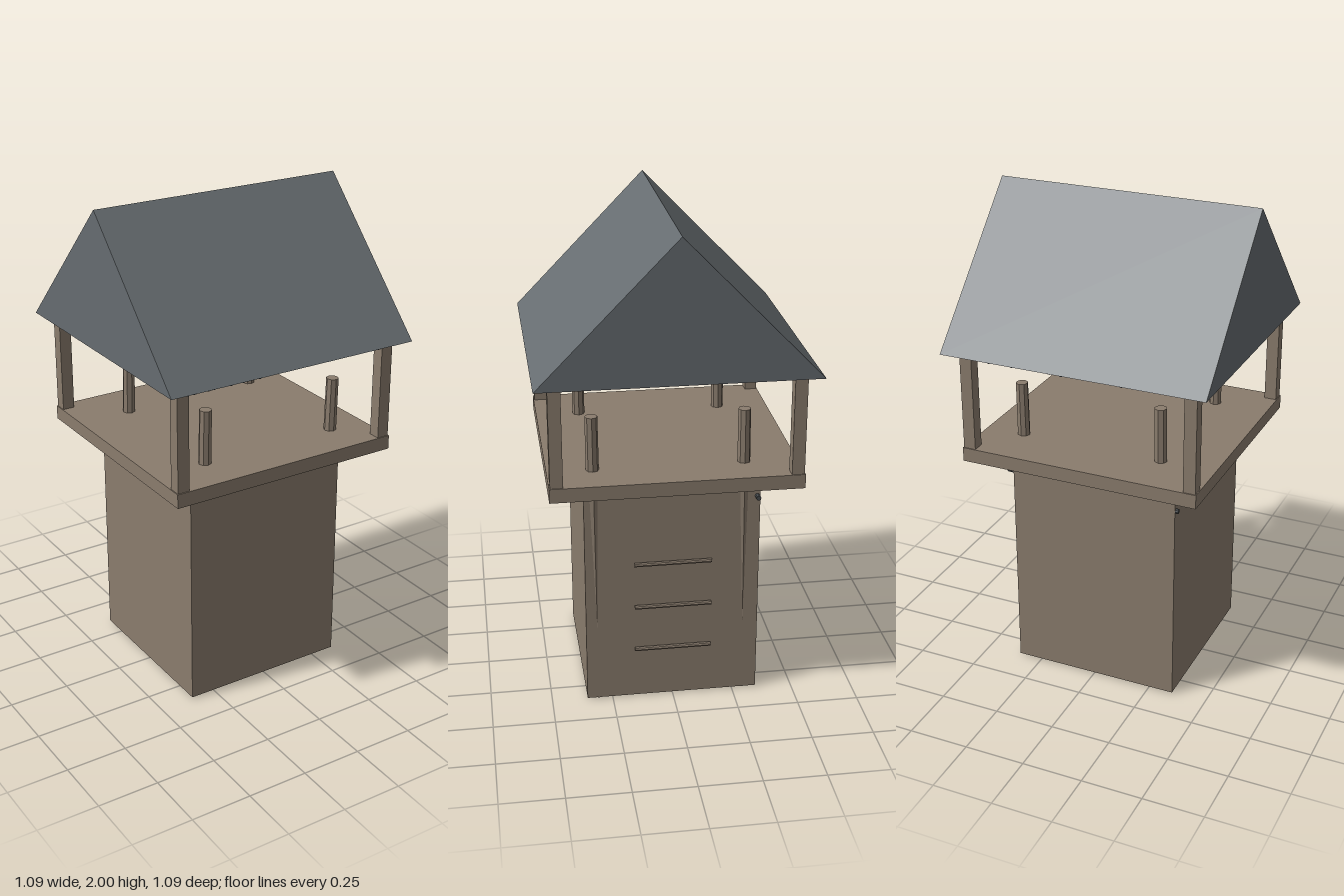
import * as THREE from 'three';

export function createModel() {
  const model = new THREE.Group();
  const mat = (name, color) => {
    const m = new THREE.MeshStandardMaterial({ color });
    m.name = name;
    return m;
  };
  const wood = mat('weathered wood', 0x8a7c6d);
  const slate = mat('slate grey', 0x666c70);
  const iron = mat('dark iron', 0x45494c);

  const add = (name, geometry, material) => {
    const mesh = new THREE.Mesh(geometry, material);
    mesh.name = name;
    model.add(mesh);
    return mesh;
  };
  const box = (name, w, h, d, x, y, z) =>
    add(name, new THREE.BoxGeometry(w, h, d), wood).position.set(x, y, z);

  // Straight round bar between two points
  const bar = (name, from, to, r0, r1, sides, material) => {
    const a = new THREE.Vector3(...from), b = new THREE.Vector3(...to);
    const dir = b.clone().sub(a);
    const geo = new THREE.CylinderGeometry(r1, r0, dir.length(), sides).toNonIndexed();
    geo.computeVertexNormals();
    const mesh = add(name, geo, material);
    mesh.position.copy(a).add(b).multiplyScalar(0.5);
    mesh.quaternion.setFromUnitVectors(new THREE.Vector3(0, 1, 0), dir.normalize());
  };

  // Tower body and lookout platform
  box('towerBody', 0.705, 0.97, 0.705, -0.002, 0.49, 0.002);
  box('platform', 0.99, 0.058, 0.99, 0, 1.002, 0);

  // Corner posts carrying the roof
  for (const x of [-0.466, 0.466])
    for (const z of [-0.466, 0.466])
      box('roofPost', 0.05, 0.42, 0.05, x, 1.235, z);

  // Leaning legs that run up through the body and platform
  for (const x of [-0.262, 0.336])
    for (const z of [-0.281, 0.317])
      bar('leg', [x - 0.018, 0.001, z - 0.011], [x, 1.255, z], 0.029, 0.025, 8, wood);

  // Ladder rungs on the left side
  for (const y of [0.228, 0.422, 0.615])
    bar('rung', [0.36, y, -0.156], [0.36, y, 0.156], 0.009, 0.009, 8, wood);

  // Axle passing through the body near the back wall
  bar('axle', [-0.366, 0.855, -0.338], [0.38, 0.886, -0.338], 0.01, 0.01, 8, iron);

  // Gabled roof, extruded along x
  const gable = new THREE.Shape([
    new THREE.Vector2(-0.545, 1.44),
    new THREE.Vector2(0.545, 1.44),
    new THREE.Vector2(0, 2),
  ]);
  const roof = new THREE.ExtrudeGeometry(gable, { depth: 1.09, bevelEnabled: false });
  roof.translate(0, 0, -0.545).rotateY(Math.PI / 2);
  add('roof', roof, slate);

  // Small studs under the eaves
  const studs = [
    [0.515, [-0.46, -0.43, -0.37, -0.35, -0.275, -0.225, -0.15, 0.405]],
    [-0.515, [-0.2, 0.045, 0.095, 0.25, 0.35]],
  ];
  for (const [z, xs] of studs)
    for (const x of xs)
      add('eaveStud', new THREE.IcosahedronGeometry(0.01, 0), slate).position.set(x, 1.433, z);

  return model;
}
